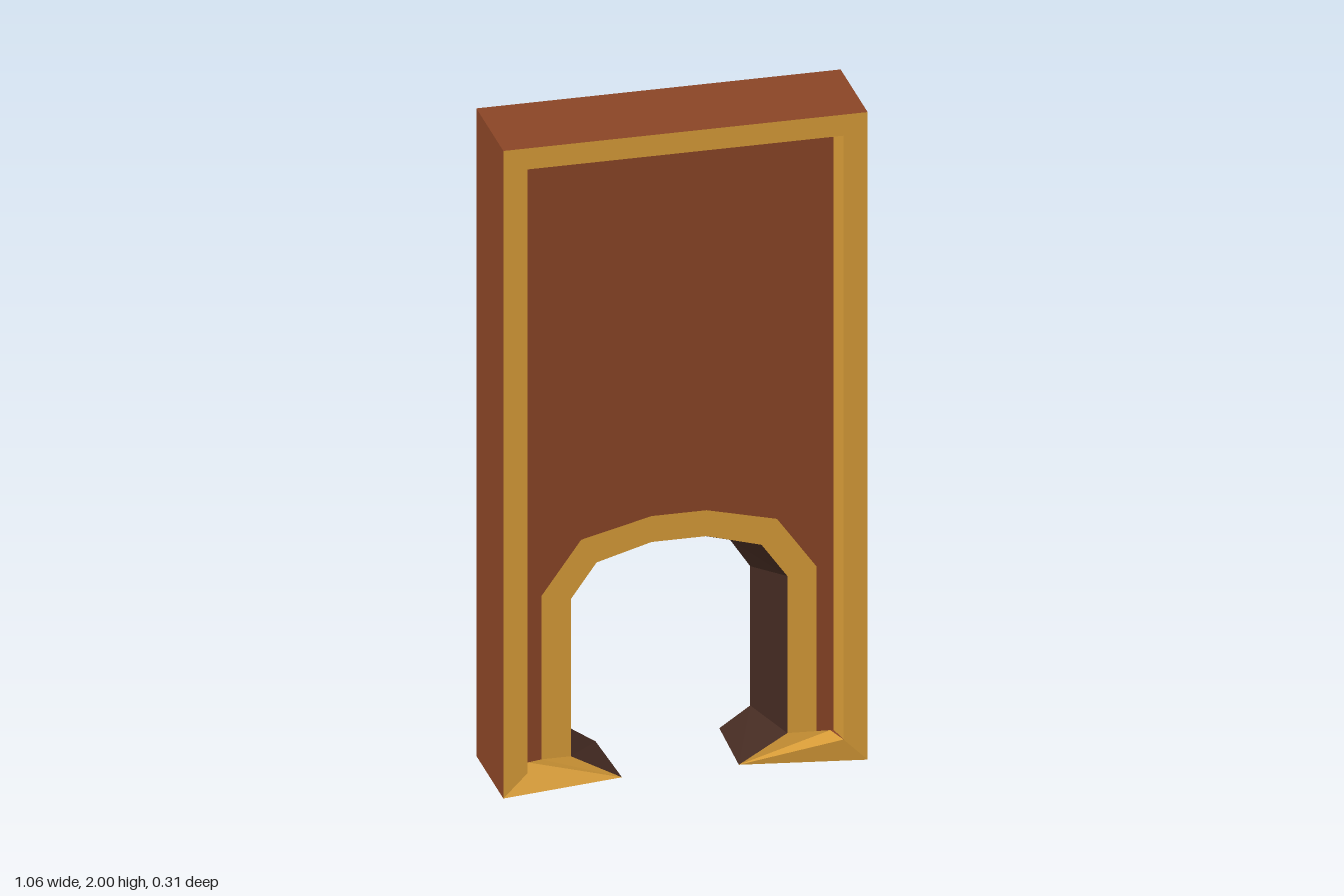
import * as THREE from 'three';

const mat = (name, color) => {
  const m = new THREE.MeshStandardMaterial({ color, side: THREE.DoubleSide });
  m.name = name;
  return m;
};

// Right half of an outline at depth z, continued by its mirror image.
// A point may carry its own z as a third number.
function path(half, z) {
  const right = half.map(([x, y, pz = z]) => new THREE.Vector3(x, y, pz));
  const left = right.map(p => new THREE.Vector3(-p.x, p.y, p.z)).reverse();
  return [...right, ...left];
}

// Flat faces between two matching outlines.
function strip(a, b) {
  const pos = [];
  for (let i = 0; i < a.length - 1; i++) {
    for (const p of [a[i], a[i + 1], b[i + 1], a[i], b[i + 1], b[i]]) pos.push(p.x, p.y, p.z);
  }
  const g = new THREE.BufferGeometry();
  g.setAttribute('position', new THREE.Float32BufferAttribute(pos, 3));
  g.computeVertexNormals();
  return g;
}

export function createModel() {
  const gold = mat('gold trim', 0xd89c38);
  const brown = mat('red brown', 0x8a4526);
  const dark = mat('dark reveal', 0x452b22);

  const group = new THREE.Group();
  group.name = 'archedDoorway';
  const add = (name, geometry, material) => {
    const mesh = new THREE.Mesh(geometry, material);
    mesh.name = name;
    group.add(mesh);
  };

  const F = 0.157, P = 0.085, B = -0.157, E = -0.145; // front, panel, back middle, back edge
  const W = 0.53, H = 2;
  const tip = [0.17, 0, 0.1];

  // Slab sides and top
  const frontEdge = path([[W, 0], [W, H]], F);
  const backEdge = path([[W, 0], [W, H]], E);
  add('outerSides', strip(backEdge, frontEdge), brown);

  // Raised border and its slanted inner edge
  const borderInner = path([[0.46, 0.07], [0.46, 1.935]], F);
  const panelEdge = path([[0.45, 0.07], [0.45, 1.92]], P);
  add('frontBorder', strip(frontEdge, borderInner), gold);
  add('borderInnerEdge', strip(borderInner, panelEdge), gold);

  // Recessed panel around the arch
  add('panel', strip(
    path([[0.45, 0.07], [0.45, 0.58], [0.45, 1.92], [0.08, 1.92]], P),
    path([[0.40, 0.07], [0.40, 0.58], [0.285, 0.74], [0.08, 0.79]], P)
  ), brown);

  // Arch trim, with the opening narrowing toward the back
  const archFront = path([tip, [0.315, 0.075], [0.315, 0.56], [0.24, 0.665], [0.08, 0.71]], P);
  const archBack = path([[0.18, 0], [0.27, 0.06], [0.27, 0.49], [0.21, 0.58], [0.06, 0.62]], B);
  add('archTrim', strip(
    path([[0.44, 0.07], [0.40, 0.075], [0.40, 0.58], [0.285, 0.74], [0.08, 0.79]], P),
    archFront
  ), gold);
  add('archReveal', strip(archFront, archBack), dark);

  // Back face, bulging slightly around the opening
  add('back', strip(archBack,
    path([[W, 0], [W, 0.06], [W, 0.49], [W, H], [0.06, H]], E)), gold);

  // Sloping sill and underside of each foot
  for (const s of [1, -1]) {
    const v = (x, y, z) => new THREE.Vector3(s * x, y, z);
    const side = s > 0 ? 'left' : 'right';
    const order = (a, b) => (s > 0 ? strip(a, b) : strip(b, a));
    const corner = v(W, 0, F), apex = v(0.44, 0.07, P), toe = v(...tip);
    add(side + 'Sill', order([corner, v(0.46, 0.07, F), apex], [corner, corner, toe]), gold);
    add(side + 'FootBase', order([corner, toe], [v(W, 0, E), v(0.18, 0, B)]), brown);
  }
  return group;
}
